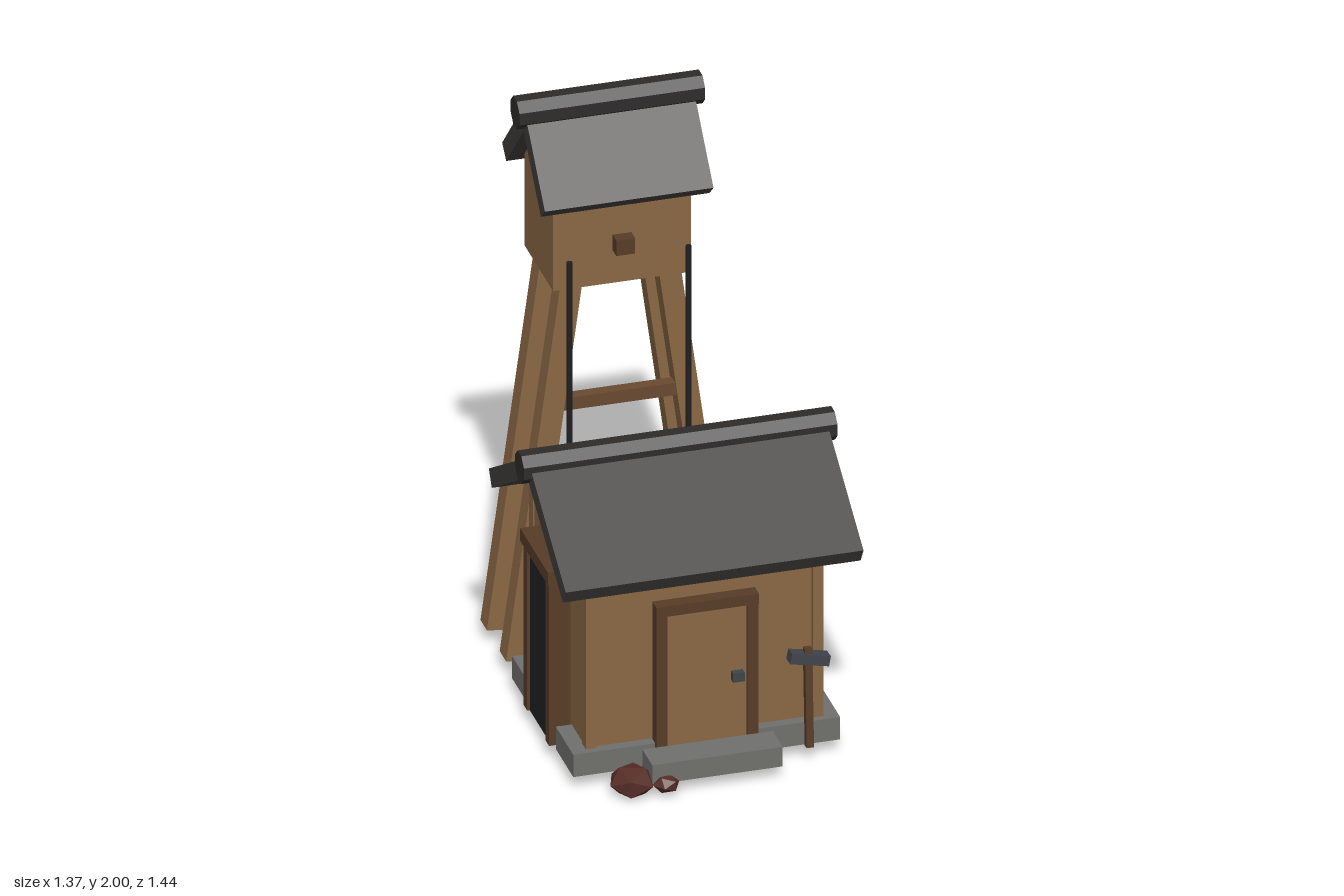
import * as THREE from 'three';

const mat = (color) => new THREE.MeshStandardMaterial({ color, flatShading: true });
const M = {
  wood: mat(0x8a6844), trim: mat(0x573c27), beam: mat(0x694a30), roof: mat(0x403e3c),
  ridge: mat(0x2e2c2b), stone: mat(0x70706d), metal: mat(0x3f444b), dark: mat(0x1e2124),
  pole: mat(0x202020), rock: mat(0x552c26),
};

function add(parent, name, geo, material, x = 0, y = 0, z = 0) {
  const mesh = new THREE.Mesh(geo, material);
  mesh.name = name;
  mesh.position.set(x, y, z);
  parent.add(mesh);
  return mesh;
}

// Box given by its centre in x and z and its bottom and top in y
function block(parent, name, material, w, d, x, y0, y1, z) {
  return add(parent, name, new THREE.BoxGeometry(w, y1 - y0, d), material, x, (y0 + y1) / 2, z);
}

// Cross-section in (z, y), extruded along x and centred
function prism(points, length) {
  const shape = new THREE.Shape(points.map(([a, b]) => new THREE.Vector2(a, b)));
  return new THREE.ExtrudeGeometry(shape, { depth: length, bevelEnabled: false })
    .translate(0, 0, -length / 2).rotateY(Math.PI / 2);
}

// Gabled walls, sloping roof slabs and an eight-sided ridge log
function gabledHut(parent, o) {
  const slope = Math.atan2(o.top - o.eave, o.run);
  const t = 0.062;
  const under = o.top - t / Math.cos(slope);
  const h = o.depth / 2;
  const side = under - h * Math.tan(slope);
  add(parent, 'walls', prism([[-h, o.floor], [h, o.floor], [h, side], [0, under], [-h, side]], o.width), M.wood);
  const lipZ = o.run - t * Math.sin(slope);
  const lipY = o.eave - t * Math.cos(slope);
  add(parent, 'roof', prism([
    [0, o.top], [-o.run, o.eave], [-lipZ, lipY], [0, under], [lipZ, lipY], [o.run, o.eave],
  ], o.roofLength), M.roof);
  const log = new THREE.CylinderGeometry(0.054, 0.054, o.ridgeLength, 8)
    .rotateY(Math.PI / 8).rotateZ(Math.PI / 2);
  add(parent, 'ridgeLog', log, M.ridge, 0, o.ridgeY, 0);
}

function buildHouse() {
  const g = new THREE.Group();
  g.name = 'house';
  gabledHut(g, {
    width: 0.775, depth: 0.61, floor: 0.1, top: 1.03, eave: 0.768, run: 0.428,
    roofLength: 0.982, ridgeLength: 1.034, ridgeY: 1.0,
  });

  // Stone footing, open at the two doorways
  block(g, 'floor', M.stone, 0.77, 0.57, 0, 0.05, 0.12, 0);
  block(g, 'backFooting', M.stone, 0.88, 0.06, 0, 0.05, 0.13, -0.31);
  block(g, 'leftFooting', M.stone, 0.06, 0.56, 0.41, 0.05, 0.13, 0);
  for (const s of [-1, 1]) {
    block(g, 'frontFooting', M.stone, 0.27, 0.06, s * 0.305, 0.05, 0.13, 0.31);
    block(g, 'rightFooting', M.stone, 0.06, 0.135, -0.41, 0.05, 0.13, s * 0.2125);
  }
  block(g, 'stoneStep', M.stone, 0.43, 0.11, 0, 0.05, 0.12, 0.405);
  for (const sx of [-1, 1]) for (const sz of [-1, 1]) {
    block(g, 'cornerPost', M.wood, 0.035, 0.045, sx * 0.374, 0.12, 0.75, sz * 0.294);
  }

  // Front door
  block(g, 'frontDoor', M.wood, 0.27, 0.04, 0.002, 0.06, 0.59, 0.318);
  for (const s of [-1, 1]) block(g, 'frontDoorPost', M.trim, 0.036, 0.046, s * 0.15, 0.06, 0.62, 0.326);
  block(g, 'frontDoorLintel', M.trim, 0.338, 0.048, 0, 0.585, 0.622, 0.326);
  block(g, 'frontDoorHandle', M.metal, 0.038, 0.025, 0.1, 0.32, 0.352, 0.349);

  // Side doorway
  block(g, 'sideDoor', M.dark, 0.07, 0.22, -0.414, 0.055, 0.63, -0.01);
  for (const s of [-1, 1]) block(g, 'sideDoorPost', M.trim, 0.075, 0.04, -0.42, 0.055, 0.65, s * 0.122 - 0.012);
  block(g, 'sideDoorLintel', M.trim, 0.08, 0.31, -0.425, 0.64, 0.685, -0.014);
  return g;
}

function buildTower() {
  const g = new THREE.Group();
  g.name = 'tower';
  gabledHut(g, {
    width: 0.455, depth: 0.315, floor: 1.377, top: 1.97, eave: 1.713, run: 0.238,
    roofLength: 0.556, ridgeLength: 0.612, ridgeY: 1.95,
  });
  block(g, 'frontBox', M.trim, 0.062, 0.06, 0, 1.495, 1.55, 0.17);

  // Legs splay sideways only
  const bottom = 0.342, top = 0.162, y0 = 0.055, y1 = 1.39;
  const lean = Math.atan2(bottom - top, y1 - y0);
  for (const sx of [-1, 1]) for (const sz of [-1, 1]) {
    const leg = add(g, 'leg', new THREE.BoxGeometry(0.072, (y1 - y0) / Math.cos(lean), 0.072), M.wood,
      sx * (bottom + top) / 2, (y0 + y1) / 2, sz * 0.107);
    leg.rotation.z = sx * lean;
  }
  for (const [y, w] of [[0.95, 0.46], [0.53, 0.57]]) {
    block(g, 'crossBeam', M.beam, w, 0.04, 0, y - 0.022, y + 0.022, 0.115);
  }
  return g;
}

function buildHammer() {
  const g = new THREE.Group();
  g.name = 'hammer';
  block(g, 'hammerHandle', M.trim, 0.024, 0.024, 0, 0, 0.345, 0);
  const head = add(g, 'hammerHead', new THREE.BoxGeometry(0.13, 0.035, 0.045), M.metal, 0.003, 0.31, 0);
  head.rotation.z = -0.2;
  g.rotation.x = -0.06;
  return g;
}

export function createModel() {
  const model = new THREE.Group();
  model.name = 'mineHouse';
  const yard = new THREE.Group();
  yard.name = 'yard';
  yard.rotation.y = Math.PI / 6;
  model.add(yard);

  const house = buildHouse();
  house.position.set(-0.009, 0, 0.109);
  const tower = buildTower();
  tower.position.set(-0.063, 0, -0.47);
  const hammer = buildHammer();
  hammer.position.set(0.322, 0.055, 0.474);
  yard.add(house, tower, hammer);

  // Thin poles rising from the back slope of the roof
  for (const s of [-1, 1]) {
    add(yard, 'pole', new THREE.CylinderGeometry(0.01, 0.01, 0.72, 6), M.pole, -0.064 + s * 0.196, 1.16, -0.23);
  }

  // Ore lumps beside the step
  for (const [x, y, z, r] of [[0.022, 0.05, 0.592, 0.079], [0.13, 0.05, 0.582, 0.045]]) {
    const rock = add(model, 'oreLump', new THREE.IcosahedronGeometry(r, 0), M.rock, x, y, z);
    rock.scale.y = 0.68;
    rock.rotation.y = x * 9;
  }
  return model;
}
